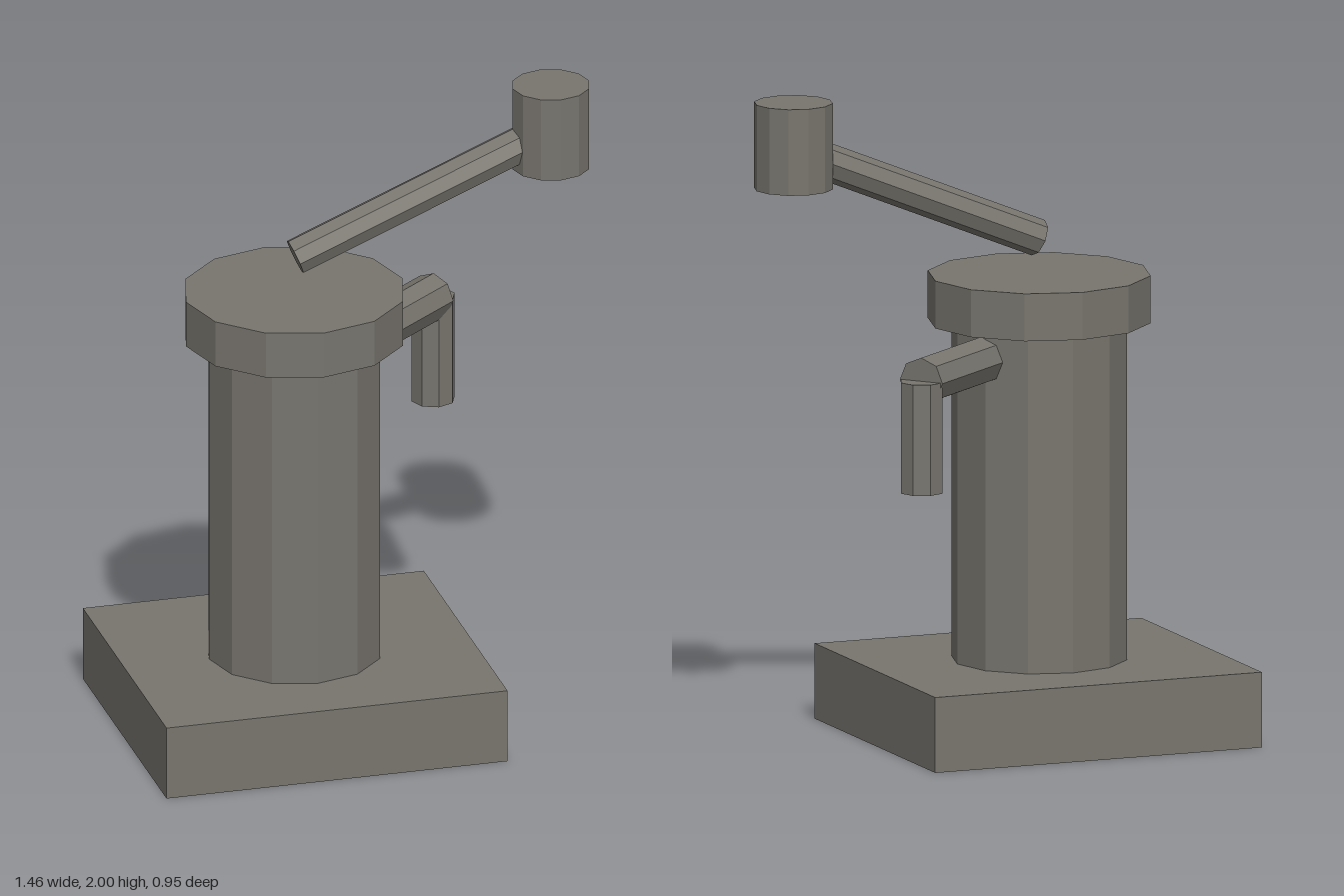
import * as THREE from 'three';

export function createModel() {
  const model = new THREE.Group();
  const iron = new THREE.MeshStandardMaterial({ color: 0x78756e, flatShading: true });
  iron.name = 'grey iron';

  function add(name, geometry, x, y, z) {
    const mesh = new THREE.Mesh(geometry, iron);
    mesh.name = name;
    mesh.position.set(x, y, z);
    model.add(mesh);
    return mesh;
  }

  // Upright cylinder between two heights
  function upright(name, radius, sides, x, z, y0, y1) {
    return add(name, new THREE.CylinderGeometry(radius, radius, y1 - y0, sides), x, (y0 + y1) / 2, z);
  }

  // Octagonal rod between two points, with one ridge on top
  function rod(name, radius, from, to) {
    const a = new THREE.Vector3(...from);
    const d = new THREE.Vector3(...to).sub(a);
    const geometry = new THREE.CylinderGeometry(radius, radius, d.length(), 8);
    geometry.rotateZ(-Math.PI / 2);
    const mid = a.addScaledVector(d, 0.5);
    const mesh = add(name, geometry, mid.x, mid.y, mid.z);
    mesh.rotation.set(0, Math.atan2(-d.z, d.x), Math.atan2(d.y, Math.hypot(d.x, d.z)));
  }

  // Square foot, pump body and lid
  add('base', new THREE.BoxGeometry(1.07, 0.232, 0.95), -0.195, 0.116, 0);
  upright('column', 0.268, 12, -0.198, 0, 0.232, 1.27);
  upright('cap', 0.34, 12, -0.198, 0, 1.27, 1.416);

  // Raised lever with its grip
  rod('handleRod', 0.057, [-0.195, 1.525, 0], [0.607, 1.855, 0]);
  upright('handleGrip', 0.12, 12, 0.607, 0, 1.735, 2);

  // Spout reaching out to the back left, then down
  rod('spoutArm', 0.073, [-0.05, 1.185, -0.044], [0.34, 1.185, -0.364]);
  upright('spoutOutlet', 0.068, 8, 0.338, -0.364, 0.845, 1.186);

  return model;
}
